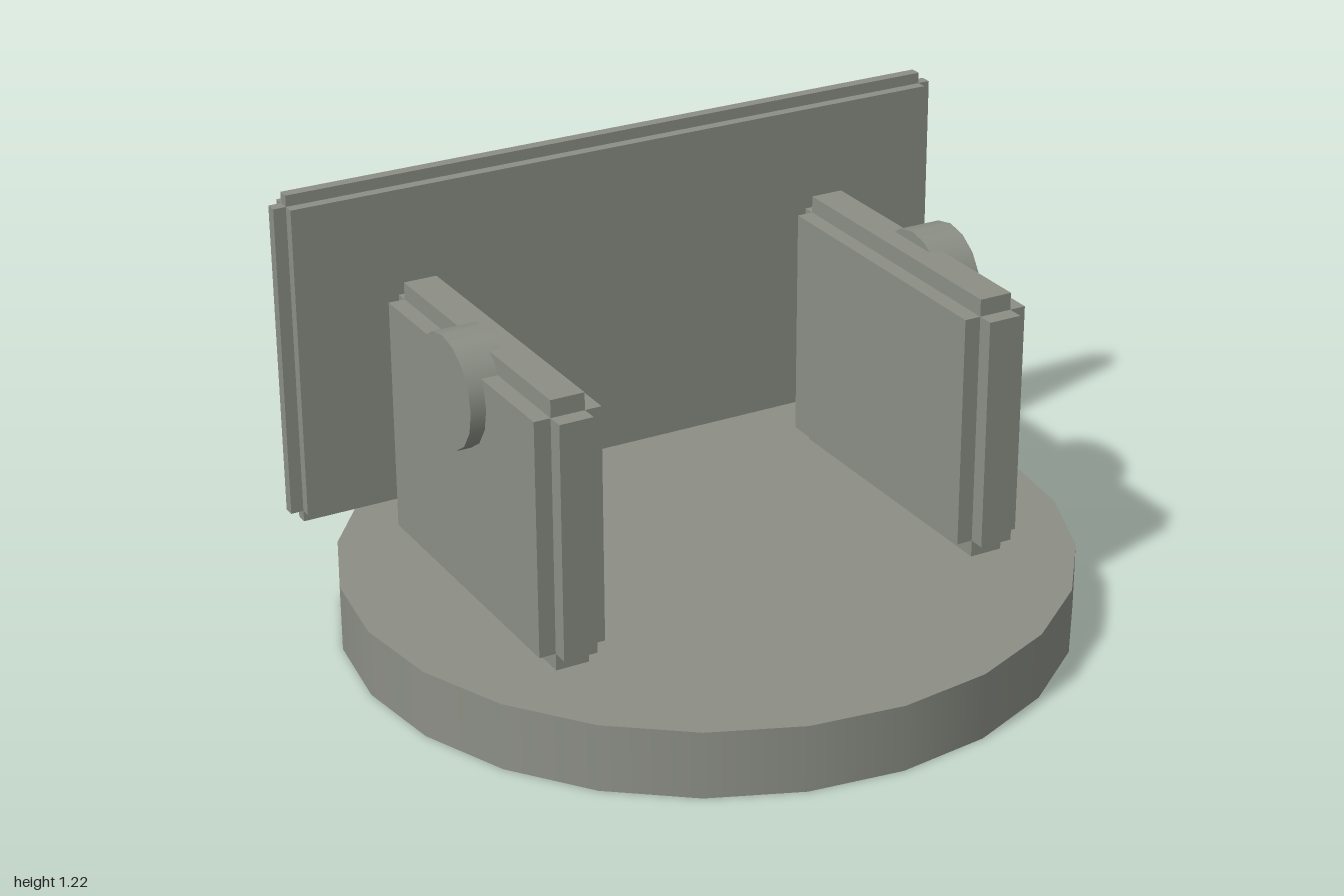
import * as THREE from 'three';

const paint = new THREE.MeshStandardMaterial({ color: 0x8c8f86 });

function add(parent, name, geometry, x, y, z) {
  const mesh = new THREE.Mesh(geometry, paint);
  mesh.name = name;
  mesh.position.set(x, y, z);
  parent.add(mesh);
  return mesh;
}

// Slab with stepped edges: three crossed boxes, each reaching furthest along one axis.
// core = inner size, step = how far each box extends past the core on both sides.
function steppedSlab(name, core, step) {
  const slab = new THREE.Group();
  slab.name = name;
  ['x', 'y', 'z'].forEach((axis) => {
    const size = core.clone();
    size[axis] += 2 * step[axis];
    add(slab, name + axis.toUpperCase(), new THREE.BoxGeometry(size.x, size.y, size.z), 0, 0, 0);
  });
  return slab;
}

export function createModel() {
  const model = new THREE.Group();
  model.name = 'model';

  // Round base
  add(model, 'base', new THREE.CylinderGeometry(1, 1, 0.187, 24), 0, 0.0935, 0);

  // Upright panel behind
  const panel = steppedSlab('backPanel',
    new THREE.Vector3(1.93, 0.874, 0.032), new THREE.Vector3(0.035, 0.031, 0.03));
  panel.position.set(0, 0.749, -0.502);
  model.add(panel);

  // Side supports with a round knob on the outside
  for (const side of [1, -1]) {
    const name = side > 0 ? 'left' : 'right';
    const support = steppedSlab(name + 'Support',
      new THREE.Vector3(0.094, 0.654, 0.842), new THREE.Vector3(0.046, 0.048, 0.046));
    support.position.set(side * 0.626, 0.564, 0);
    model.add(support);

    const knob = add(model, name + 'Knob',
      new THREE.CylinderGeometry(0.155, 0.155, 0.123, 16), side * 0.7, 0.814, 0);
    knob.rotation.z = -side * Math.PI / 2;
  }
  return model;
}
